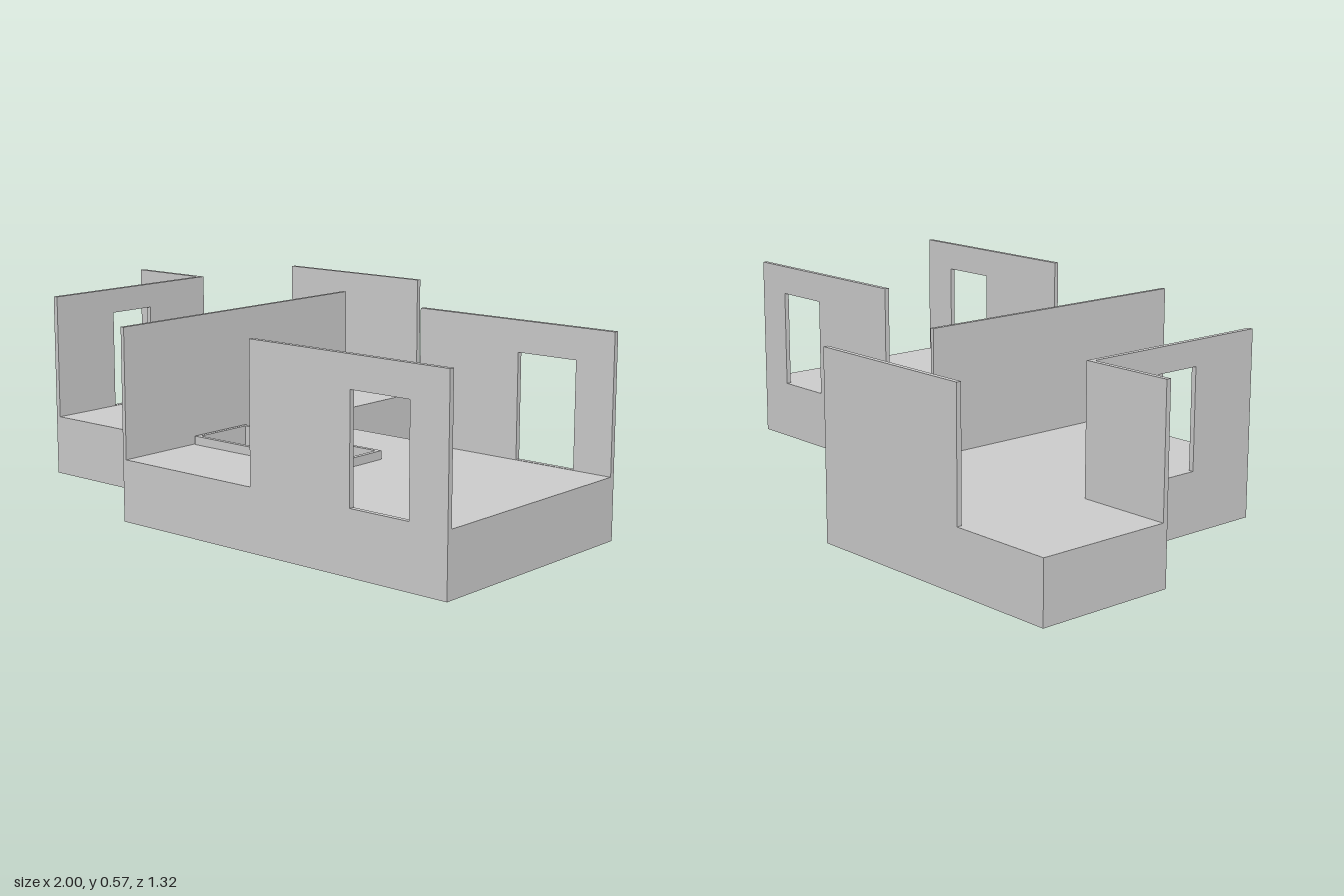
import * as THREE from 'three';

const FLOOR = 0.18, T = 0.015;
const material = new THREE.MeshStandardMaterial({ color: 0xcccccc, flatShading: true, side: THREE.DoubleSide });

// Footprint corners as [x, z], clockwise seen from above
const footprint = [
  [-1, -0.66], [-0.128, -0.66], [-0.128, -0.073], [1, -0.073], [1, 0.66],
  [-0.14, 0.66], [-0.14, 0.392], [-0.73, 0.392], [-0.73, -0.23], [-1, -0.23],
];

const rect = (a0, b0, a1, b1) => [[a0, b0], [a1, b0], [a1, b1], [a0, b1]];

// Moves every side of a right-angled outline inwards by d
function inset(points, d) {
  const n = points.length;
  return points.map(([x, z], i) => {
    const [px, pz] = points[(i + n - 1) % n], [nx, nz] = points[(i + 1) % n];
    const sx = Math.sign(x - px) + Math.sign(nx - x);
    const sz = Math.sign(z - pz) + Math.sign(nz - z);
    return [x - sz * d, z + sx * d];
  });
}

function extrude(outline, hole, depth) {
  const vectors = (pts) => pts.map(([a, b]) => new THREE.Vector2(a, b));
  const shape = new THREE.Shape(vectors(outline));
  if (hole) shape.holes.push(new THREE.Path(vectors(hole)));
  return new THREE.ExtrudeGeometry(shape, { depth, bevelEnabled: false });
}

function add(group, name, geometry) {
  const mesh = new THREE.Mesh(geometry, material);
  mesh.name = name;
  group.add(mesh);
}

// Horizontal plate or ring from [x, z] outlines
function plate(group, name, outline, hole, y0, y1) {
  const flip = (pts) => pts && pts.map(([x, z]) => [x, -z]);
  const geometry = extrude(flip(outline), flip(hole), y1 - y0);
  add(group, name, geometry.rotateX(-Math.PI / 2).translate(0, y0, 0));
}

// Upright wall along x, with its back face at z
function wallX(group, name, x0, x1, z, top, door) {
  add(group, name, extrude(rect(x0, FLOOR, x1, top), door, T).translate(0, 0, z));
}

// Upright wall along z, with its lower-x face at x
function wallZ(group, name, z0, z1, x, top, door, thickness = T) {
  const flip = (pts) => pts && pts.map(([z, y]) => [-z, y]);
  const geometry = extrude(flip(rect(z0, FLOOR, z1, top)), flip(door), thickness);
  add(group, name, geometry.rotateY(Math.PI / 2).translate(x, 0, 0));
}

export function createModel() {
  const group = new THREE.Group();
  group.name = 'floorPlan';

  // Hollow base: skirt around the edge and a thin floor with the basin cut out
  const basin = rect(-0.123, 0.182, 0.402, 0.394);
  const basinInner = inset(basin, 0.013);
  plate(group, 'skirt', footprint, inset(footprint, 0.008), 0, FLOOR);
  plate(group, 'floor', inset(footprint, 0.004), basinInner, FLOOR - 0.004, FLOOR);

  // Sunken basin with a raised rim
  plate(group, 'basinRim', basin, basinInner, 0.14, 0.205);
  plate(group, 'basinBottom', basin, null, 0.136, 0.14);

  // Matching front and back walls of the large room, each with a doorway
  const door = rect(0.69, FLOOR + 0.001, 0.88, 0.485);
  wallX(group, 'frontWall', 0.347, 1, 0.66 - T, 0.575, door);
  wallX(group, 'backWall', 0.347, 1, -0.073, 0.575, door);

  // Dividing wall between the two rooms
  wallZ(group, 'dividingWall', -0.285, 0.66, -0.14, 0.555, null, 0.012);

  // Walls of the side room
  wallX(group, 'sideRoomBackWall', -0.68, -0.128, -0.66, 0.555);
  wallX(group, 'sideRoomFrontWall', -1, -0.715, -0.245, 0.555);
  wallZ(group, 'sideRoomDoorWall', -0.245, 0.392, -0.73, 0.555, rect(0, FLOOR + 0.001, 0.16, 0.48));

  return group;
}
